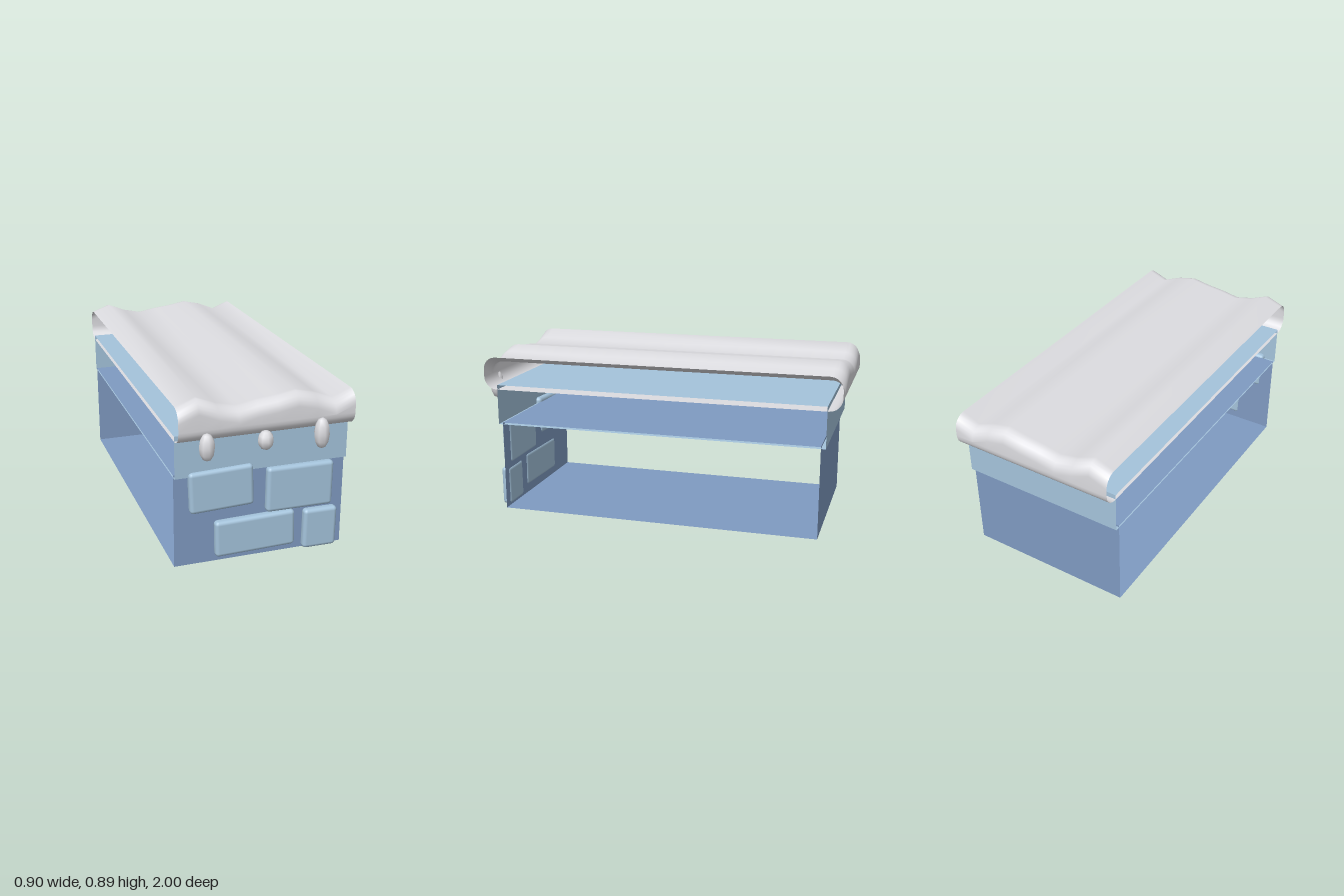
import * as THREE from 'three';
import { RoundedBoxGeometry } from 'three/addons/geometries/RoundedBoxGeometry.js';

const W = 0.896; // width of the wall section
const ZC = -0.0275; // middle of the wall along z

function material(name, color, doubleSided) {
  const m = new THREE.MeshStandardMaterial({ color });
  m.name = name;
  if (doubleSided) m.side = THREE.DoubleSide;
  return m;
}

// Box without its two x ends, so that sections can be tiled
function openBox(y0, y1, halfDepth) {
  const geo = new THREE.BoxGeometry(W, y1 - y0, halfDepth * 2);
  geo.setIndex(Array.from(geo.index.array).slice(12));
  geo.clearGroups();
  geo.translate(0, (y0 + y1) / 2, ZC);
  return geo;
}

// Rounded profile swept along x, with a top that rises and falls
function snowCap() {
  const tops = [0.857, 0.895, 0.855, 0.833, 0.851, 0.862, 0.88, 0.858, 0.818, 0.857];
  const bottom = 0.68, r = 0.068, half = 0.9725, steps = 6;
  const ring = [{ z: 0, y: 0, top: false }];
  const corners = [[-1, false, 270], [-1, true, 180], [1, true, 90], [1, false, 0]];
  for (const [side, top, start] of corners) {
    for (let i = 0; i <= steps; i++) {
      const a = THREE.MathUtils.degToRad(start - (90 * i) / steps);
      ring.push({
        z: side * (half - r) + Math.cos(a) * r,
        y: (top ? -r : r) + Math.sin(a) * r,
        top,
      });
    }
  }
  ring.push(ring[0]);

  const cols = tops.length;
  const geo = new THREE.PlaneGeometry(W, 1, cols - 1, ring.length - 1);
  const pos = geo.attributes.position;
  ring.forEach((p, j) => {
    for (let i = 0; i < cols; i++) {
      pos.setXYZ(j * cols + i, pos.getX(i), (p.top ? tops[i] : bottom) + p.y, ZC + p.z);
    }
  });
  geo.computeVertexNormals();
  return geo;
}

export function createModel() {
  const group = new THREE.Group();
  const snow = material('snow white', 0xdcdce0, true);
  const lightStone = material('light blue stone', 0xa4c3db, true);
  const darkStone = material('dark blue stone', 0x7f9ac1, true);

  const add = (name, geo, mat) => {
    const mesh = new THREE.Mesh(geo, mat);
    mesh.name = name;
    group.add(mesh);
    return mesh;
  };

  // Wall body, ledge above it and snow on top
  add('wallBody', openBox(0, 0.495, 0.8725), darkStone);
  add('ledge', openBox(0.485, 0.705, 0.8975), lightStone);
  add('snowCap', snowCap(), snow);

  // Raised bricks on the front: x, y, width, height, tilt
  [
    [-0.213, 0.405, 0.33, 0.218, 0.037],
    [0.2, 0.361, 0.355, 0.24, -0.01],
    [-0.034, 0.136, 0.422, 0.194, 0.02],
    [0.317, 0.114, 0.182, 0.217, -0.012],
  ].forEach(([x, y, w, h, tilt], i) => {
    const brick = add('brick' + (i + 1), new RoundedBoxGeometry(w, h, 0.05, 2, 0.02), lightStone);
    brick.position.set(x, y, 0.865);
    brick.rotation.z = tilt;
  });

  // Snow drops hanging from the front edge: x, y, half height
  [
    [-0.315, 0.67, 0.07],
    [-0.023, 0.67, 0.049],
    [0.267, 0.67, 0.08],
  ].forEach(([x, y, h], i) => {
    const drop = add('snowDrop' + (i + 1), new THREE.SphereGeometry(1, 8, 6), snow);
    drop.scale.set(0.04, h, 0.04);
    drop.position.set(x, y, 0.96);
  });

  return group;
}
